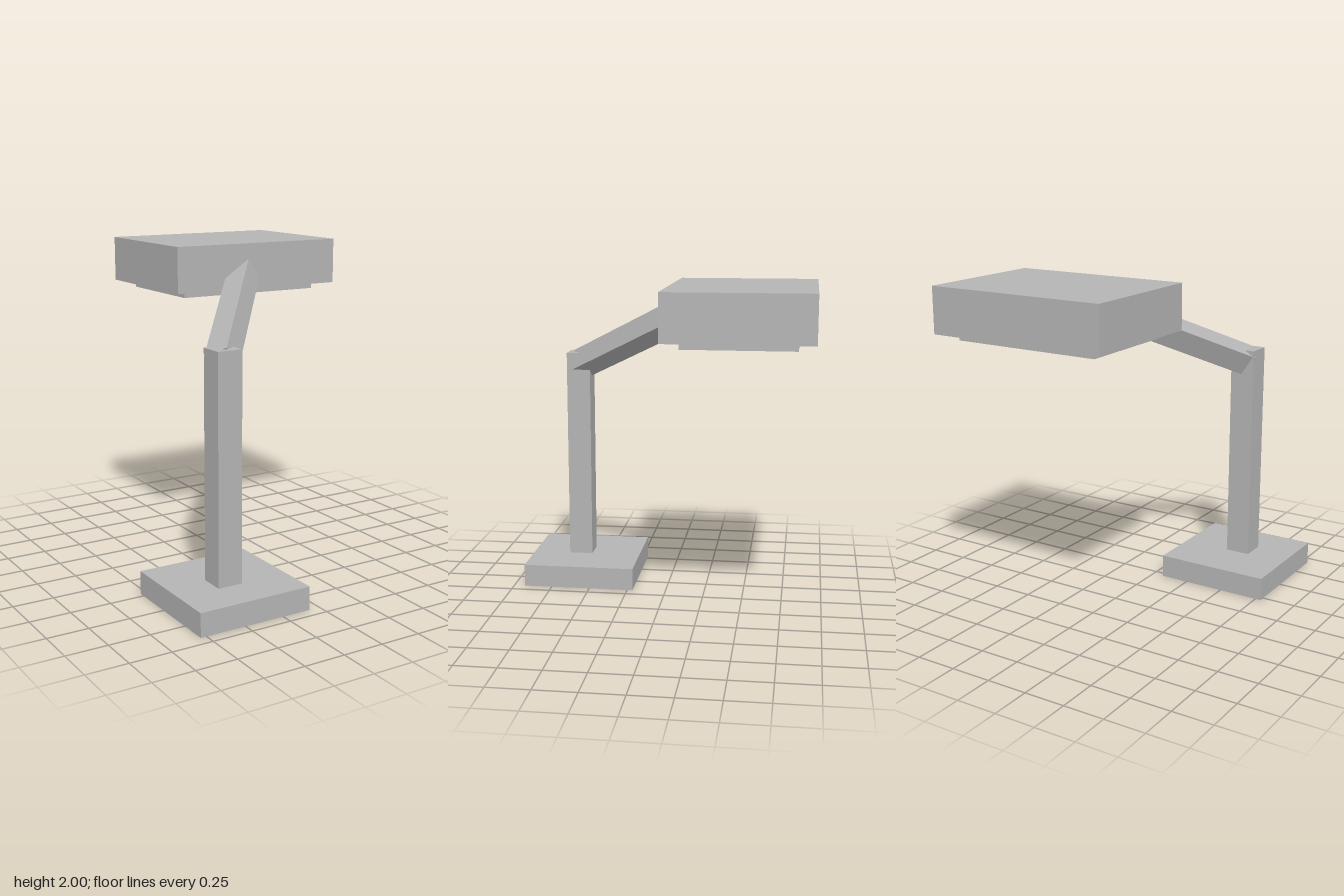
import * as THREE from 'three';

export function createModel() {
  const model = new THREE.Group();
  const grey = new THREE.MeshStandardMaterial({ color: 0xb4b4b4 });
  grey.name = 'plain grey';

  // Box given by its lowest and highest corners
  function block(name, [x0, y0, z0], [x1, y1, z1]) {
    const mesh = new THREE.Mesh(new THREE.BoxGeometry(x1 - x0, y1 - y0, z1 - z0), grey);
    mesh.position.set((x0 + x1) / 2, (y0 + y1) / 2, (z0 + z1) / 2);
    mesh.name = name;
    model.add(mesh);
  }

  block('base', [-0.786, 0, 0.214], [-0.071, 0.143, 0.929]);
  block('post', [-0.53, 0.1, 0.535], [-0.375, 1.505, 0.688]);
  block('lampHead', [-0.357, 1.72, -0.929], [0.786, 2, -0.071]);
  block('lightPanel', [-0.257, 1.678, -0.829], [0.686, 1.74, -0.171]);

  // Square arm, slanting from the post top up into the head
  const thickness = 0.143, length = 1.143;
  const along = new THREE.Vector3(0.588, 0.385, -0.715).normalize();
  const across = new THREE.Vector3(along.y, -along.x, 0).normalize();
  const depth = new THREE.Vector3().crossVectors(along, across);
  const arm = new THREE.Mesh(new THREE.BoxGeometry(thickness, thickness, length), grey);
  arm.name = 'arm';
  arm.quaternion.setFromRotationMatrix(new THREE.Matrix4().makeBasis(across, depth, along));
  arm.position.set(-0.456, 1.428, 0.601).addScaledVector(along, length / 2);
  model.add(arm);

  return model;
}
